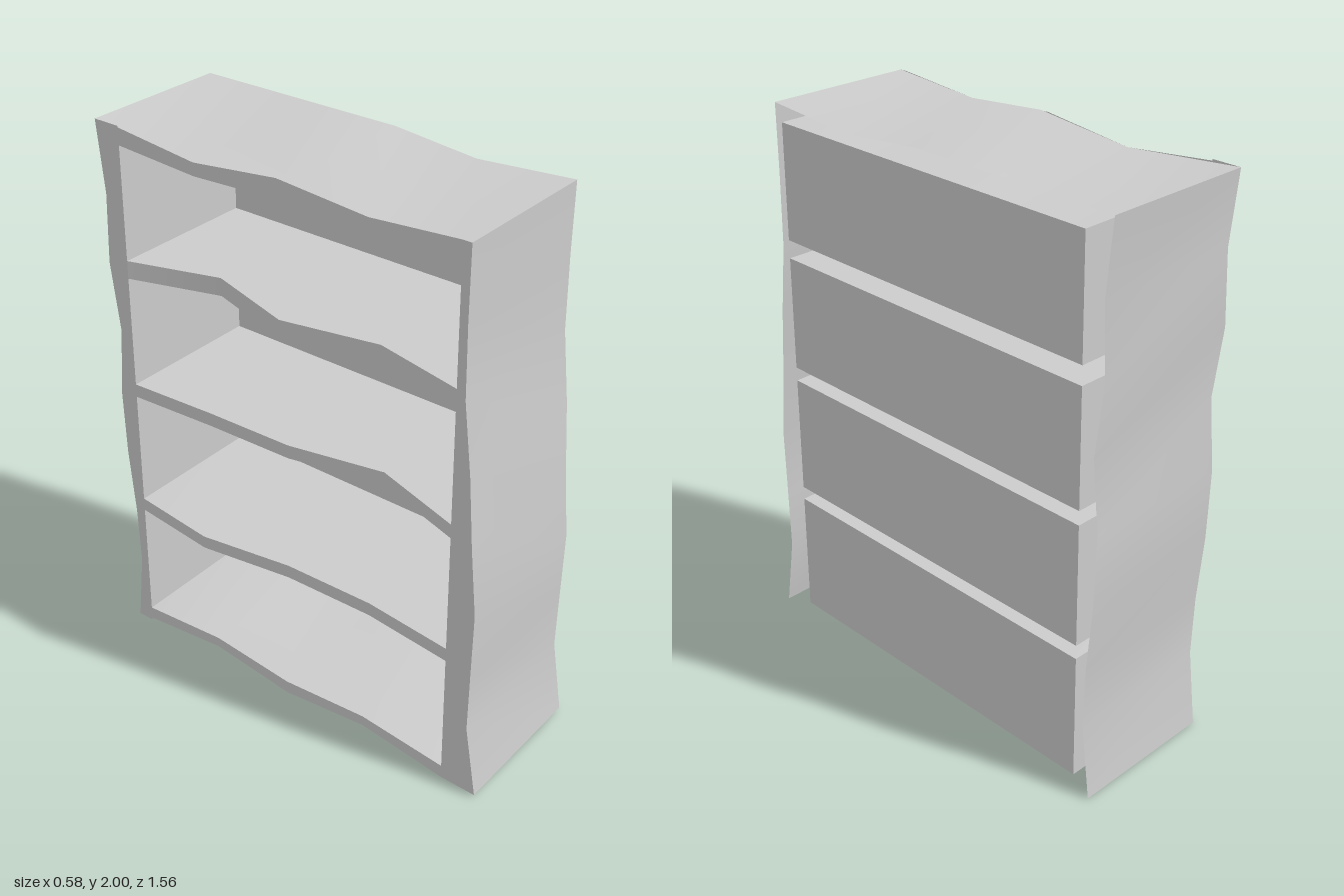
import * as THREE from 'three';

const FRONT = -0.25, BACK = 0.29;
const material = new THREE.MeshStandardMaterial({ color: 0xcccccc, side: THREE.DoubleSide });

// Ribbon of quads between two polylines of equal length; smooth along its run
function strip(name, a, b) {
  const index = [];
  for (let i = 0; i < a.length - 1; i++) {
    const p = 2 * i;
    index.push(p, p + 1, p + 2, p + 2, p + 1, p + 3);
  }
  const geometry = new THREE.BufferGeometry();
  geometry.setAttribute('position', new THREE.Float32BufferAttribute(a.flatMap((p, i) => [...p, ...b[i]]), 3));
  geometry.setIndex(index);
  geometry.computeVertexNormals();
  const mesh = new THREE.Mesh(geometry, material);
  mesh.name = name;
  return mesh;
}

// Inner edges of the two uprights, leaning slightly
const innerA = y => 0.645 - 0.008 * y;
const innerB = y => -0.705 + 0.0133 * y;
const atX = (line, x) => line.map(([, y, z]) => [x, y, z]);

// Rail edge across the opening: base height, inward shifts and lifts at the three inner points
function railEdge(y, shift, lift) {
  const mids = [-0.36, -0.03, 0.31].map((z, i) => [FRONT + shift[i], y + lift[i], z]);
  return [[FRONT, y, innerB(y)], ...mids, [FRONT, y, innerA(y)]];
}

export function createModel() {
  const group = new THREE.Group();
  group.name = 'crookedBookcase';
  const add = (...args) => group.add(strip(...args));

  // Crooked uprights: outer wall and front stile, points are [y, z]
  const uprights = [
    ['leftmostUpright', innerA, [[0.01, 0.78], [0.28, 0.735], [0.5, 0.737], [0.75, 0.74], [1, 0.715],
      [1.25, 0.695], [1.5, 0.665], [1.75, 0.66], [1.995, 0.66]]],
    ['rearUpright', innerB, [[0, -0.77], [0.28, -0.735], [0.5, -0.74], [0.75, -0.76], [1, -0.765],
      [1.25, -0.74], [1.5, -0.77], [1.75, -0.757], [2, -0.78]]],
  ];
  uprights[0][0] = 'frontUpright';
  for (const [name, inner, points] of uprights) {
    const outer = points.map(([y, z]) => [FRONT, y, z]);
    add(name + 'Wall', outer, atX(outer, BACK));
    add(name + 'Stile', outer, points.map(([y]) => [FRONT, y, inner(y)]));
  }

  // Wavy top, straighter along its back edge
  const top = [[-0.78, 2], [-0.36, 1.96], [0, 1.997], [0.31, 1.97], [0.66, 1.995]]
    .map(([z, y]) => [FRONT, y, z]);
  const topBack = atX(top, BACK);
  topBack[1][1] = 2;
  topBack[2][1] = 2;
  add('top', top, topBack);

  // Rails: lower height, upper height, inward shifts, lower lifts, upper lifts
  const flat = [0, 0, 0];
  const rails = [
    [0.01, 0.06, flat, [0.04, 0, 0.04], [0.03, 0, 0.03]],
    [0.52, 0.57, [-0.045, 0.02, 0.03], [0.012, 0, 0], [0.01, 0, 0]],
    [1.005, 1.055, [0.02, 0.03, 0.1], flat, flat],
    [1.465, 1.53, [0.1, 0, 0.07], flat, flat],
    [1.935, 1.995, flat, [-0.02, -0.005, -0.015], [-0.035, 0.002, -0.025]],
  ].map(([y0, y1, shift, lift0, lift1]) => ({
    y0, y1, lower: railEdge(y0, shift, lift0), upper: railEdge(y1, shift, lift1),
  }));
  rails.forEach((r, i) => add('shelfFront' + i, r.lower, r.upper));

  // Compartments: floor, ceiling, two sides and a back panel each
  for (let i = 0; i < rails.length - 1; i++) {
    const floorY = rails[i].y1, ceilY = rails[i + 1].y0;
    const floor = rails[i].upper, ceiling = rails[i + 1].lower;
    const rear = (line, y) => line.map(([, , z]) => [BACK, y, z]);
    add('shelfTop' + i, floor, rear(floor, floorY));
    add('compartmentCeiling' + i, ceiling, rear(ceiling, ceilY));
    for (const inner of [innerA, innerB]) {
      const edge = [floorY, ceilY].map(y => [FRONT, y, inner(y)]);
      add('compartmentSide' + i, edge, atX(edge, BACK));
    }
    add('backPanel' + i,
      [floorY, ceilY].map(y => [BACK, y, innerA(y)]),
      [floorY, ceilY].map(y => [BACK, y, innerB(y)]));
  }
  return group;
}
